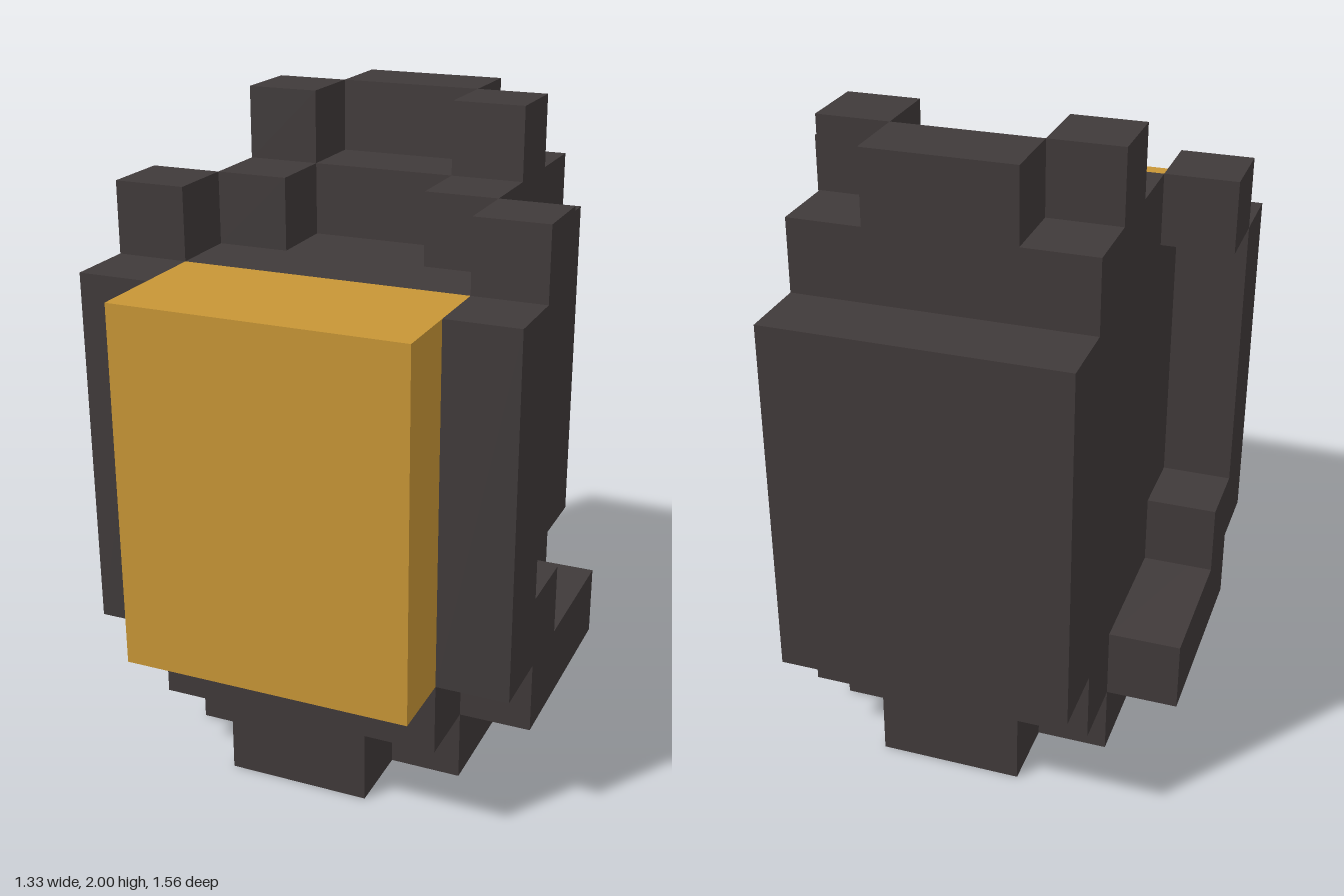
import * as THREE from 'three';

const U = 2 / 9; // one block

export function createModel() {
  const model = new THREE.Group();
  model.name = 'blockFigure';

  const dark = new THREE.MeshStandardMaterial({ color: 0x403a3a });
  dark.name = 'charcoal';
  const gold = new THREE.MeshStandardMaterial({ color: 0xc89636 });
  gold.name = 'gold';

  // Box from its limits, in block units
  function box(name, material, [x0, x1], [y0, y1], [z0, z1]) {
    const mesh = new THREE.Mesh(
      new THREE.BoxGeometry((x1 - x0) * U, (y1 - y0) * U, (z1 - z0) * U),
      material
    );
    mesh.position.set((x0 + x1) / 2 * U, (y0 + y1) / 2 * U, (z0 + z1) / 2 * U);
    mesh.name = name;
    model.add(mesh);
  }

  // The same box on both sides
  function pair(name, material, [x0, x1], y, z) {
    box(name + 'Left', material, [x0, x1], y, z);
    box(name + 'Right', material, [-x1, -x0], y, z);
  }

  // Foot, a plus shape with notched corners
  box('footMiddle', dark, [-2, 2], [0, 1], [-1.5, 1.5]);
  box('footFront', dark, [-1, 1], [0, 1], [1.5, 2.5]);
  box('footBack', dark, [-1, 1], [0, 1], [-2.5, -1.5]);

  // Core, back plate and golden front
  box('base', dark, [-2, 2], [1, 2], [-2.5, 2.5]);
  box('body', dark, [-2, 2], [2, 7], [-2.5, 1.5]);
  box('backPlate', dark, [-2, 2], [2, 7], [-3.5, -2.5]);
  box('frontPanel', gold, [-2, 2], [2, 7], [1.5, 3.5]);

  // Frame on each side
  pair('sideWall', dark, [2, 3], [2, 7], [1.5, 2.5]);
  pair('sideRail', dark, [2, 3], [1, 2], [-1.5, 1.5]);
  pair('railStep', dark, [2, 3], [2, 3], [0.5, 1.5]);
  pair('shoulderBlock', dark, [2, 3], [7, 8], [0.5, 1.5]);

  // Stepped crown
  box('crownBase', dark, [-2, 2], [7, 8], [-2.5, -0.5]);
  box('crownBack', dark, [-1, 1], [8, 9], [-2.5, -1.5]);
  pair('crownHorn', dark, [1, 2], [8, 9], [-1.5, -0.5]);
  pair('crownStep', dark, [1, 2], [7, 8], [-0.5, 0.5]);

  return model;
}
